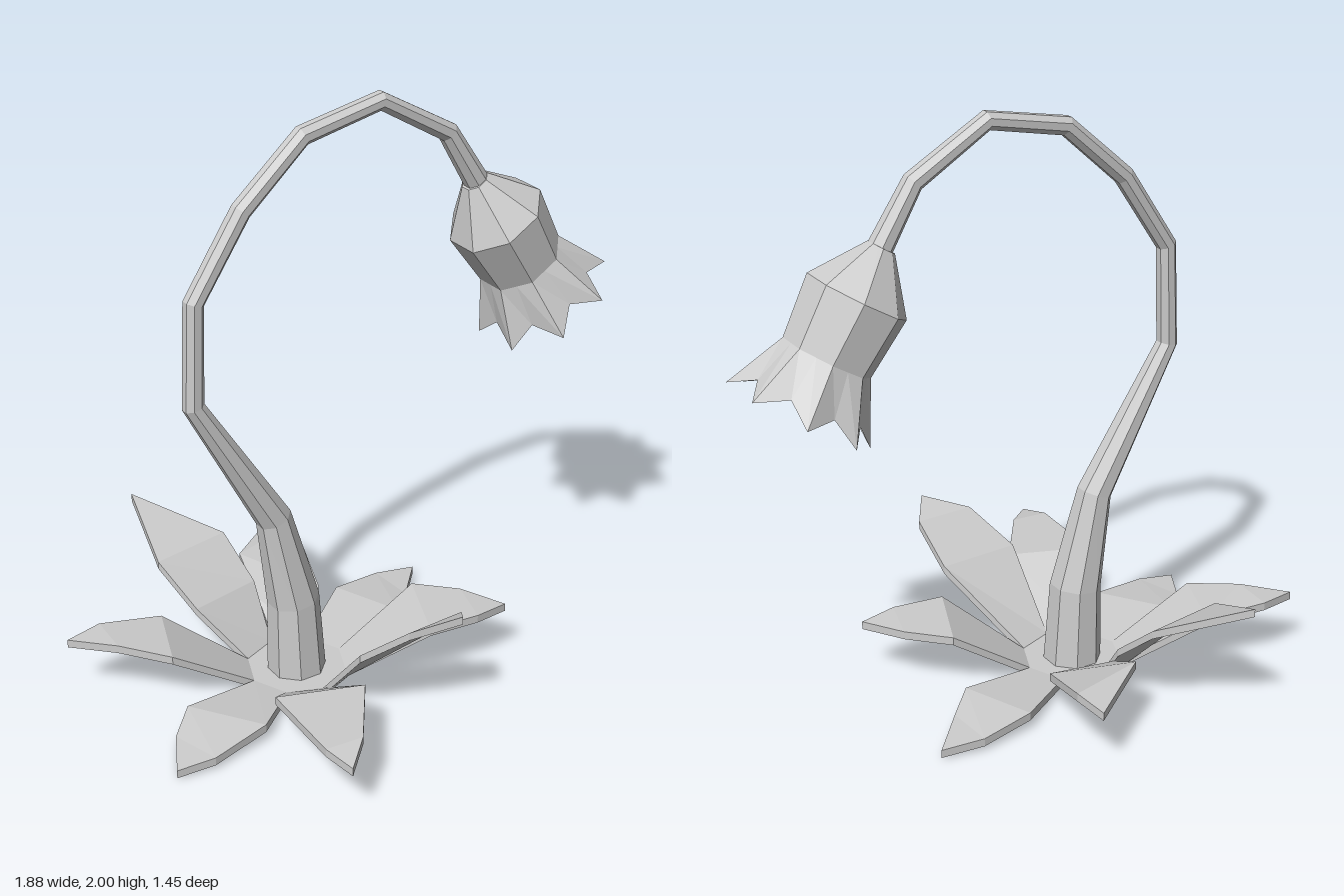
import * as THREE from 'three';

const CENTRE = { x: -0.25, z: -0.05 };
const COS = Math.cos(Math.PI / 8);
const material = new THREE.MeshStandardMaterial({ color: 0xcccccc, flatShading: true, side: THREE.DoubleSide });

// Skin a list of equal-sized rings, with optional end caps
function loft(name, rings, capStart, capEnd) {
  const n = rings[0].length, pos = [];
  const tri = (...pts) => pts.forEach(p => pos.push(p.x, p.y, p.z));
  for (let i = 0; i < rings.length - 1; i++) {
    for (let j = 0; j < n; j++) {
      const k = (j + 1) % n, [p, q] = [rings[i], rings[i + 1]];
      tri(p[j], p[k], q[k]);
      tri(p[j], q[k], q[j]);
    }
  }
  const cap = (r, flip) => {
    for (let j = 1; j < n - 1; j++) flip ? tri(r[0], r[j + 1], r[j]) : tri(r[0], r[j], r[j + 1]);
  };
  if (capStart) cap(rings[0], true);
  if (capEnd) cap(rings[rings.length - 1], false);
  const geo = new THREE.BufferGeometry();
  geo.setAttribute('position', new THREE.Float32BufferAttribute(pos, 3));
  geo.computeVertexNormals();
  const mesh = new THREE.Mesh(geo, material);
  mesh.name = name;
  return mesh;
}

// Ring around an axis (tx, ty) lying in the plane of the stem
function ring(x, y, tx, ty, n, radius, shift = () => 0) {
  return Array.from({ length: n }, (_, j) => {
    const a = (j + 0.5 * (n === 8)) * Math.PI * 2 / n;
    const u = Math.cos(a) * radius(j), s = shift(j);
    return new THREE.Vector3(x + ty * u + tx * s, y - tx * u + ty * s, CENTRE.z + Math.sin(a) * radius(j));
  });
}

// Arched stem: x, y, radius
function makeStem() {
  const path = [
    [-0.25, 0, 0.1], [-0.26, 0.3, 0.088], [-0.33, 0.63, 0.06], [-0.608, 1.11, 0.036], [-0.593, 1.455, 0.034],
    [-0.42, 1.715, 0.034], [-0.2, 1.91, 0.033], [0.083, 1.967, 0.032], [0.34, 1.815, 0.035], [0.46, 1.62, 0.042],
  ];
  const rings = path.map(([x, y, r], i) => {
    const a = path[Math.max(i - 1, 0)], b = path[Math.min(i + 1, path.length - 1)];
    const d1 = new THREE.Vector2(x - a[0], y - a[1]).normalize();
    const d2 = new THREE.Vector2(b[0] - x, b[1] - y).normalize();
    const t = d1.add(d2).normalize();
    return ring(x, y, t.x, t.y, 8, () => r);
  });
  return loft('stem', rings, true, true);
}

// Hanging bell: octagonal body opening to a rim with eight points
function makeBell() {
  const tx = 0.52, ty = -0.854;
  const octagon = r => j => (j % 2 ? r : r * COS);
  const at = (d, radius, shift) => ring(0.45 + tx * d, 1.63 + ty * d, tx, ty, 16, radius, shift);
  return loft('bellFlower', [
    at(0, octagon(0.046)),
    at(0.165, octagon(0.168)),
    at(0.37, octagon(0.148)),
    at(0.565, j => (j % 2 ? 0.242 : 0.185), j => (j % 2 ? 0 : -0.055)),
  ], true, false);
}

// Leaf slab: two edge pairs [x, z], a tip, and the top heights of those three sections
function makeLeaf([a1, b1, a2, b2, tip, heights]) {
  const thick = 0.028;
  const dir = Math.atan2((a1[1] + b1[1]) / 2 - CENTRE.z, (a1[0] + b1[0]) / 2 - CENTRE.x);
  const root = s => [CENTRE.x + 0.17 * Math.cos(dir + s), CENTRE.z + 0.17 * Math.sin(dir + s)];
  const cross = (a1[0] - CENTRE.x) * (b1[1] - CENTRE.z) - (a1[1] - CENTRE.z) * (b1[0] - CENTRE.x);
  const pairs = [[root(-0.4), root(0.4)], [a1, b1], [a2, b2]].map(([a, b], i) => (i && cross < 0 ? [b, a] : [a, b]));
  pairs.push([tip, tip]);
  const tops = [thick, ...heights];
  const rings = pairs.map(([a, b], i) => {
    const v = (p, y) => new THREE.Vector3(p[0], y, p[1]);
    const hi = tops[i], lo = Math.max(hi - thick, 0);
    return [v(a, lo), v(a, hi), v(b, hi), v(b, lo)].reverse();
  });
  return loft('leaf', rings, true, true);
}

export function createModel() {
  const model = new THREE.Group();
  model.name = 'droopingFlower';
  model.add(makeStem(), makeBell());

  // Rosette of low, middle and upright leaves
  const leaves = new THREE.Group();
  leaves.name = 'leaves';
  [
    [[-0.61, -0.33], [-0.7, -0.09], [-0.82, -0.375], [-0.83, -0.22], [-0.95, -0.35], [0.2, 0.22, 0.215]],
    [[-0.49, -0.3], [-0.235, -0.35], [-0.55, -0.45], [-0.265, -0.5], [-0.5, -0.725], [0.2, 0.33, 0.45]],
    [[-0.235, -0.32], [-0.015, -0.28], [-0.21, -0.49], [0.06, -0.56], [0.04, -0.68], [0.14, 0.23, 0.215]],
    [[0.1, -0.345], [0.2, -0.1], [0.29, -0.375], [0.3, -0.2], [0.435, -0.35], [0.06, 0.04, 0.03]],
    [[0.09, 0.25], [0.2, -0.02], [0.27, 0.27], [0.32, 0.1], [0.4, 0.25], [0.21, 0.21, 0.2]],
    [[-0.25, 0.34], [0.04, 0.32], [-0.15, 0.47], [0.06, 0.46], [0, 0.55], [0.28, 0.4, 0.45]],
    [[-0.545, 0.3], [-0.27, 0.4], [-0.56, 0.62], [-0.43, 0.63], [-0.53, 0.725], [0.21, 0.21, 0.19]],
    [[-0.54, 0.23], [-0.7, 0], [-0.75, 0.27], [-0.8, 0.1], [-0.88, 0.25], [0.06, 0.04, 0.03]],
  ].forEach(row => leaves.add(makeLeaf(row)));

  // Disc joining the leaf roots
  const base = new THREE.Mesh(new THREE.CylinderGeometry(0.175, 0.175, 0.028, 8), material);
  base.name = 'base';
  base.position.set(CENTRE.x, 0.014, CENTRE.z);
  model.add(leaves, base);
  return model;
}
